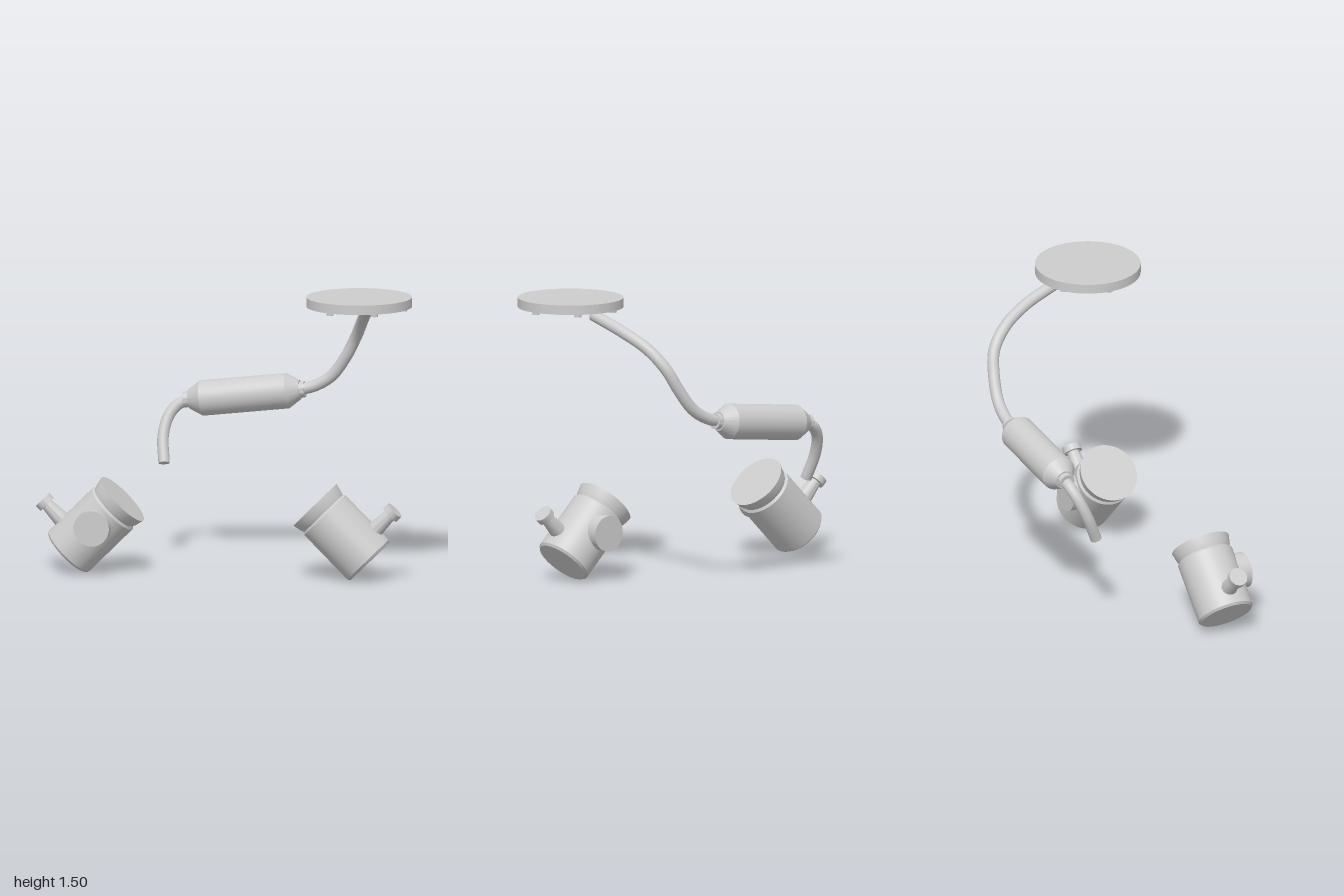
import * as THREE from 'three';
import { toCreasedNormals } from 'three/addons/utils/BufferGeometryUtils.js';

const steel = new THREE.MeshStandardMaterial({ color: 0xcccccc });
steel.name = 'light grey steel';

const V = (x, y, z) => new THREE.Vector3(x, y, z);

function part(name, geometry, parent, x = 0, y = 0, z = 0) {
  const mesh = new THREE.Mesh(geometry, steel);
  mesh.name = name;
  mesh.position.set(x, y, z);
  parent.add(mesh);
  return mesh;
}

// Closed turned solid; profile is [radius, height] from bottom to top
function turned(profile) {
  const points = profile.map(([r, y]) => new THREE.Vector2(r, y));
  return toCreasedNormals(new THREE.LatheGeometry(points, 56), 0.5);
}

// Smooth pipe with flat ends
function pipe(name, points, radius, parent) {
  const curve = new THREE.CatmullRomCurve3(points);
  part(name, new THREE.TubeGeometry(curve, 64, radius, 24), parent);
  for (const t of [0, 1]) {
    const outward = curve.getTangent(t).multiplyScalar(t ? 1 : -1);
    const cap = part(name + 'End', new THREE.CircleGeometry(radius, 24), parent);
    cap.position.copy(curve.getPoint(t));
    cap.quaternion.setFromUnitVectors(V(0, 0, 1), outward);
  }
}

// Tilted canister with flared lip, side nozzle and round side port
function canister(name, x, turn) {
  const group = new THREE.Group();
  group.name = name;
  group.position.set(x, 0.098, 0.245);
  group.rotation.y = turn;
  const tilted = new THREE.Group();
  tilted.name = name + 'Body';
  tilted.rotation.z = -Math.PI / 4;
  group.add(tilted);

  part('canisterShell', turned([
    [0, 0], [0.139, 0], [0.15, 0.012], [0.15, 0.337], [0.139, 0.348], [0, 0.348],
  ]), tilted);
  part('canisterLip', turned([
    [0, 0.34], [0.138, 0.347], [0.147, 0.367], [0.157, 0.412], [0, 0.412],
  ]), tilted);

  const nozzle = part('nozzle', turned([
    [0, 0.1], [0.045, 0.1], [0.042, 0.16], [0.032, 0.254],
    [0.049, 0.254], [0.049, 0.289], [0, 0.289],
  ]), tilted, 0, 0.1, 0);
  nozzle.rotation.z = Math.PI / 2;

  const port = part('sidePort', new THREE.CylinderGeometry(0.094, 0.094, 0.11, 48), tilted, 0, 0.226, 0.135);
  port.rotation.x = Math.PI / 2;
  return group;
}

export function createModel() {
  const model = new THREE.Group();
  model.name = 'pipeAssembly';

  // Two canisters, one turned half way round
  model.add(canister('rightCanister', -0.829, 0));
  model.add(canister('leftCanister', 0.778, Math.PI));

  // Round plate with six bolts underneath
  const plate = new THREE.Group();
  plate.name = 'roundPlate';
  plate.position.set(0.722, 0, 0.245);
  model.add(plate);
  part('plateDisc', new THREE.CylinderGeometry(0.277, 0.277, 0.05, 64), plate, 0, 1.475, 0);
  for (let i = 0; i < 6; i++) {
    const a = i * Math.PI / 3;
    part('bolt', new THREE.CylinderGeometry(0.019, 0.019, 0.03, 20), plate,
      0.235 * Math.cos(a), 1.447, 0.235 * Math.sin(a));
  }

  // Muffler drum with tapered ends and collars
  const drum = part('muffler', turned([
    [0, -0.327], [0.042, -0.327], [0.042, -0.298], [0.05, -0.298], [0.093, -0.23],
    [0.093, 0.23], [0.05, 0.298], [0.042, 0.298], [0.042, 0.323], [0, 0.323],
  ]), model, -0.0125, 0.8475, -0.4375);
  drum.rotation.z = -Math.PI / 2 + 0.115;

  // Pipe rising to the plate
  pipe('upperPipe', [
    V(0.27, 0.88, -0.437), V(0.36, 0.905, -0.437), V(0.45, 0.96, -0.43), V(0.53, 1.067, -0.412),
    V(0.59, 1.18, -0.38), V(0.64, 1.28, -0.29), V(0.685, 1.355, -0.15), V(0.72, 1.428, 0.06),
  ], 0.031, model);

  // Short pipe bending down
  pipe('lowerPipe', [
    V(-0.3, 0.814, -0.437), V(-0.365, 0.785, -0.432), V(-0.41, 0.73, -0.41),
    V(-0.433, 0.63, -0.368), V(-0.418, 0.492, -0.31),
  ], 0.03, model);

  return model;
}
